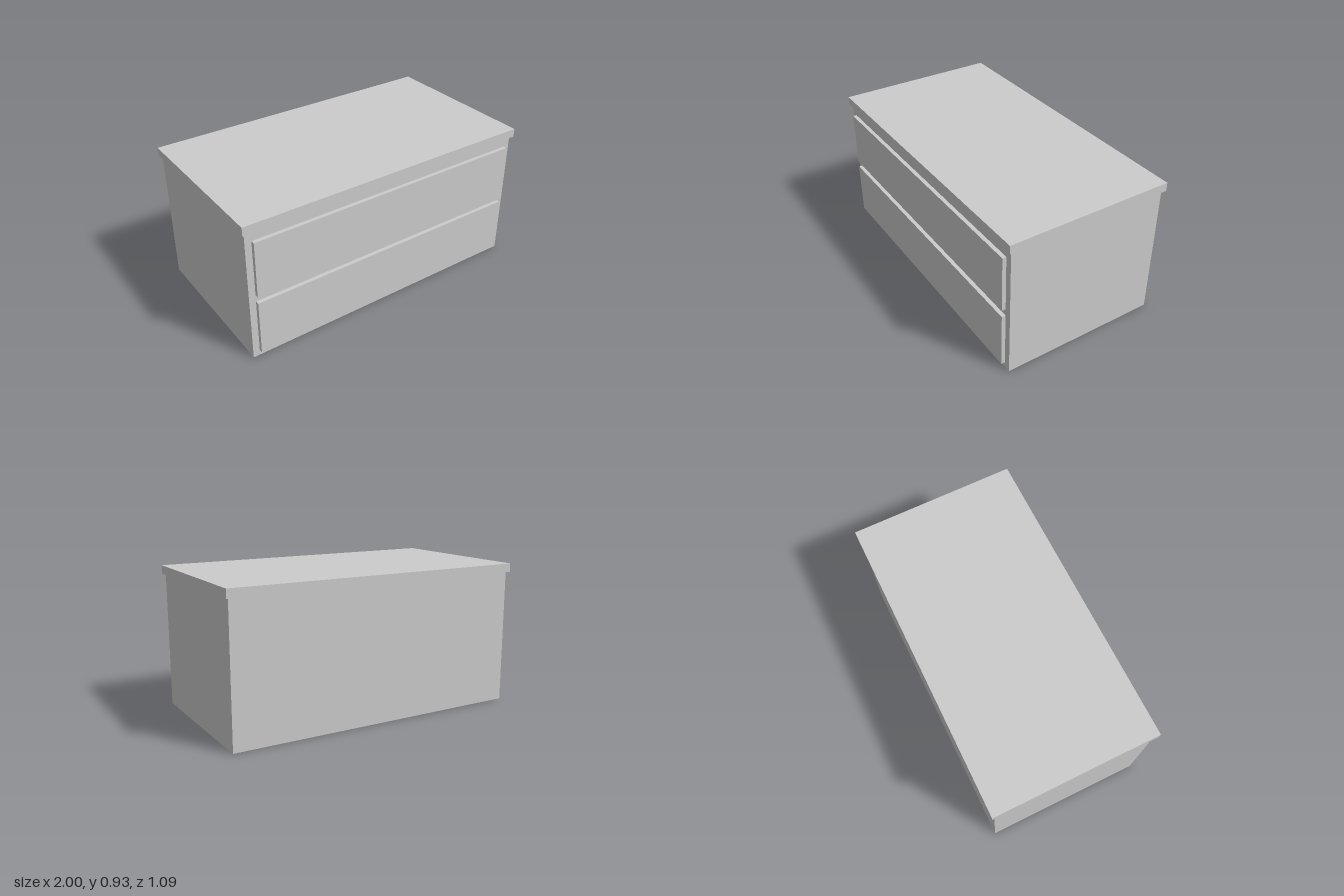
import * as THREE from 'three';

const material = new THREE.MeshStandardMaterial({ color: 0xcccccc });

// Box given by its width and its y and z ranges, centred on x = 0
function addBox(parent, name, width, [y0, y1], [z0, z1]) {
  const mesh = new THREE.Mesh(new THREE.BoxGeometry(width, y1 - y0, z1 - z0), material);
  mesh.name = name;
  mesh.position.set(0, (y0 + y1) / 2, (z0 + z1) / 2);
  parent.add(mesh);
}

export function createModel() {
  const group = new THREE.Group();
  group.name = 'drawerCabinet';

  const bodyFront = 0.518;
  addBox(group, 'body', 1.965, [0, 0.876], [-0.523, bodyFront]);

  // Overhanging worktop
  addBox(group, 'top', 2, [0.876, 0.931], [-0.543, 0.538]);

  // Two equal drawer fronts standing proud of the body
  const drawerHeight = 0.365;
  [['lowerDrawer', 0.036], ['upperDrawer', 0.447]].forEach(([name, y]) =>
    addBox(group, name, 1.88, [y, y + drawerHeight], [bodyFront, 0.543]));

  return group;
}
